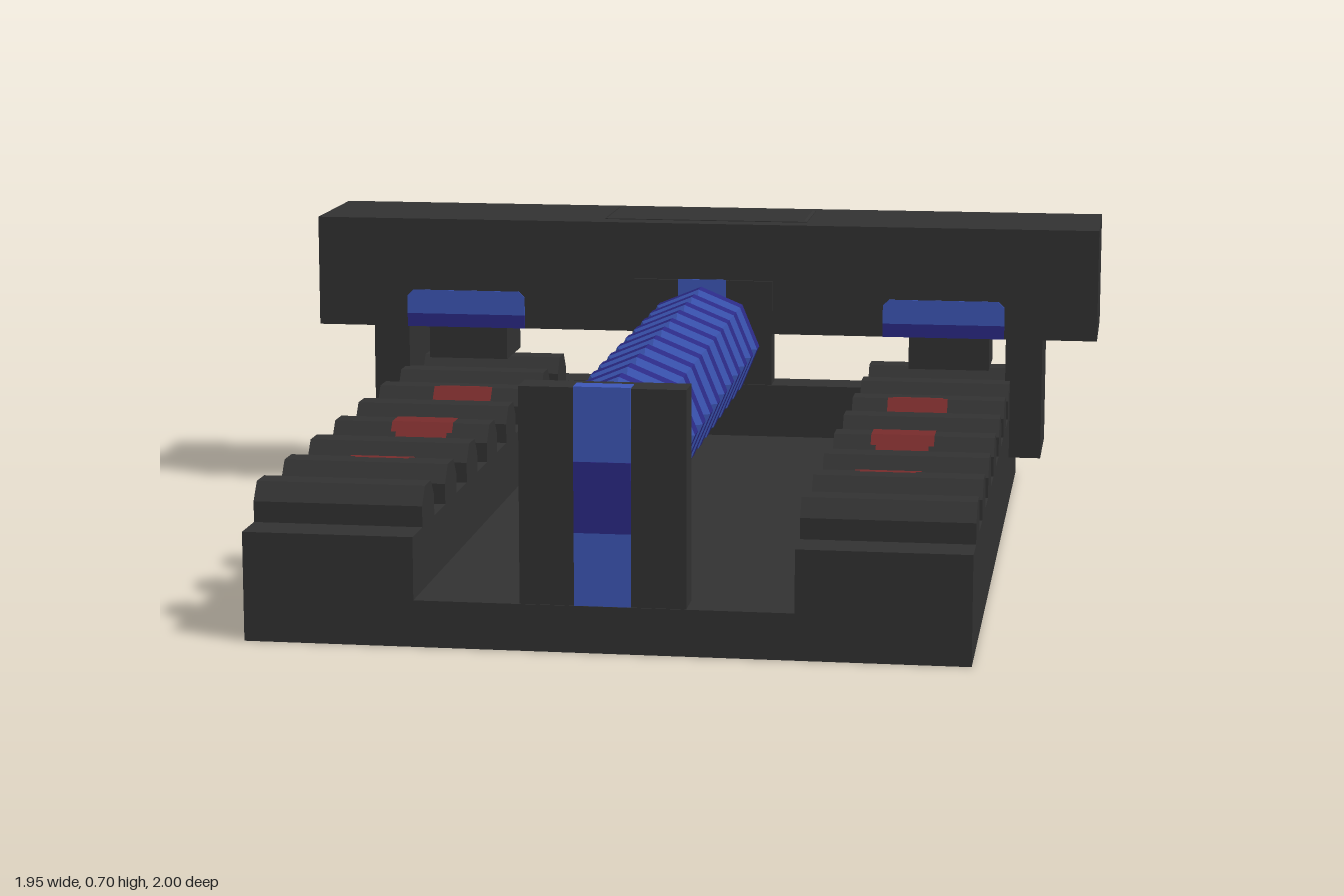
import * as THREE from 'three';

const mat = (name, color) => {
  const m = new THREE.MeshStandardMaterial({ color });
  m.name = name;
  return m;
};

export function createModel() {
  const model = new THREE.Group();
  const grey = mat('charcoal', 0x323232);
  const blue = mat('blue', 0x3d57b8);
  const navy = mat('navy', 0x2b2a86);
  const red = mat('dull red', 0x782c2c);
  red.side = THREE.DoubleSide;

  const add = (name, geo, material) => {
    const mesh = new THREE.Mesh(geo, material);
    mesh.name = name;
    model.add(mesh);
    return mesh;
  };
  // box given by its limits
  const box = (name, material, x0, x1, y0, y1, z0, z1) =>
    add(name, new THREE.BoxGeometry(x1 - x0, y1 - y0, z1 - z0), material)
      .position.set((x0 + x1) / 2, (y0 + y1) / 2, (z0 + z1) / 2);

  // toothed outline of a rail as [z, y] points, optionally grown by g
  const FLOOR = 0.235;
  const teeth = (g = 0) => {
    const pts = [];
    for (let i = 7; i >= 0; i--) {
      const c = 0.843 - i * 0.2337, h = 0.06 + g;
      pts.push([c - h, FLOOR + g], [c - h, 0.28 + g], [c - 0.03, 0.318 + g],
        [c + 0.03, 0.318 + g], [c + h, 0.28 + g], [c + h, FLOOR + g]);
    }
    return pts;
  };

  // bed: floor, back wall and two toothed rails
  box('bedFloor', grey, -0.4, 0.4, 0, 0.1, -1, 1);
  box('bedBackWall', grey, -0.4, 0.4, 0.1, FLOOR, -1, -0.895);
  const outline = [[-1, 0], [1, 0], [1, FLOOR], ...teeth().reverse(), [-1, FLOOR]];
  const railShape = new THREE.Shape(outline.map(([z, y]) => new THREE.Vector2(z, y)));
  const railGeo = new THREE.ExtrudeGeometry(railShape, { depth: 0.365, bevelEnabled: false });
  railGeo.rotateY(-Math.PI / 2);
  add('rightRail', railGeo, grey).position.x = -0.4;
  add('leftRail', railGeo, grey).position.x = 0.765;

  // red marks that follow the teeth, with clipped corners
  const LIFT = 0.002;
  const profile = [[-1, FLOOR + LIFT], ...teeth(LIFT), [1, FLOOR + LIFT]];
  const markGeometry = (cx, cz) => {
    const pos = [];
    for (const [dx0, dx1, dz] of [[-0.072, -0.06, 0.043], [-0.06, 0.06, 0.052], [0.06, 0.072, 0.043]]) {
      const x0 = cx + dx0, x1 = cx + dx1;
      for (let i = 0; i + 1 < profile.length; i++) {
        const [za, ya] = profile[i], [zb, yb] = profile[i + 1];
        const a = Math.max(za, cz - dz), b = Math.min(zb, cz + dz);
        if (a > b || (a === b && za !== zb)) continue;
        const at = z => ya + (yb - ya) * (z - za) / (zb - za);
        const p = za === zb ? ya : at(a), q = za === zb ? yb : at(b);
        pos.push(x0, p, a, x0, q, b, x1, q, b, x0, p, a, x1, q, b, x1, p, a);
      }
    }
    const geo = new THREE.BufferGeometry();
    geo.setAttribute('position', new THREE.Float32BufferAttribute(pos, 3));
    geo.computeVertexNormals();
    return geo;
  };
  for (const s of [-1, 1])
    for (const z of [-0.255, 0.147, 0.547])
      add('railMark', markGeometry(s * 0.557, z), red);

  // screw supports with painted stripes
  for (const [name, y0, z0, z1] of [['frontPost', 0.1, 0.92, 0.997], ['rearPlate', 0.3, -0.6, -0.539]]) {
    box(name, grey, -0.175, 0.175, y0, 0.56, z0, z1);
    box(name + 'Stripe', blue, -0.06, 0.06, y0, 0.562, z1 - 0.001, z1 + 0.0015);
    box(name + 'Band', navy, -0.06, 0.06, Math.max(y0, 0.255), 0.405, z1, z1 + 0.003);
  }
  box('frontPostTopPatch', blue, -0.06, 0.06, 0.559, 0.562, 0.952, 0.997);

  // ribbed octagonal screw
  const SCREW_Y = 0.4;
  const turned = points => {
    const geo = new THREE.LatheGeometry(points.map(p => new THREE.Vector2(...p)), 8)
      .rotateX(Math.PI / 2).toNonIndexed();
    geo.computeVertexNormals();
    return geo;
  };
  const coreR = 0.103, ribR = 0.146;
  add('screwCore', turned([[coreR, -0.56], [coreR, 0.93]]), blue).position.y = SCREW_Y;
  const ribGeo = turned([[coreR - 0.003, -0.052], [ribR, -0.024], [ribR, 0.024]]);
  const ribFaceGeo = turned([[ribR, 0.024], [coreR - 0.003, 0.052]]);
  for (let i = 0; i < 12; i++) {
    const z = 0.882 - i * 0.1255;
    for (const mesh of [add('screwRib', ribGeo, navy), add('screwRibFace', ribFaceGeo, blue)])
      mesh.position.set(0, SCREW_Y, z);
  }

  // crossbar with bevelled top plate
  box('crossbar', grey, -0.977, 0.977, 0.427, 0.7, -0.877, -0.547);
  const plateShape = new THREE.Shape([[-0.247, 0.612], [0.247, 0.612], [0.247, 0.818], [-0.247, 0.818]]
    .map(p => new THREE.Vector2(...p)));
  const plateGeo = new THREE.ExtrudeGeometry(plateShape,
    { depth: 0.002, bevelThickness: 0.003, bevelSize: 0.007, bevelSegments: 1 });
  add('topPlate', plateGeo.rotateX(-Math.PI / 2), grey).position.y = 0.7;

  // legs, feet and front pads on both sides
  const padShape = new THREE.Shape([[-0.15, 0.46], [0.15, 0.46], [0.15, 0.505], [0.135, 0.52],
    [-0.135, 0.52], [-0.15, 0.505]].map(p => new THREE.Vector2(...p)));
  const padGeo = new THREE.ExtrudeGeometry(padShape, { depth: 0.003, bevelEnabled: false });
  for (const s of [-1, 1]) {
    const cx = s * 0.6;
    box('crossbarLeg', grey, s * 0.798 - 0.045, s * 0.798 + 0.045, 0.125, 0.44, -0.842, -0.577);
    box('crossbarFoot', grey, s * 0.61 - 0.1, s * 0.61 + 0.1, 0.335, 0.44, -0.8, -0.62);
    add('pad', padGeo, blue).position.set(cx, 0, -0.548);
    box('padLowerBand', navy, cx - 0.15, cx + 0.15, 0.427, 0.46, -0.548, -0.545);
  }
  return model;
}
